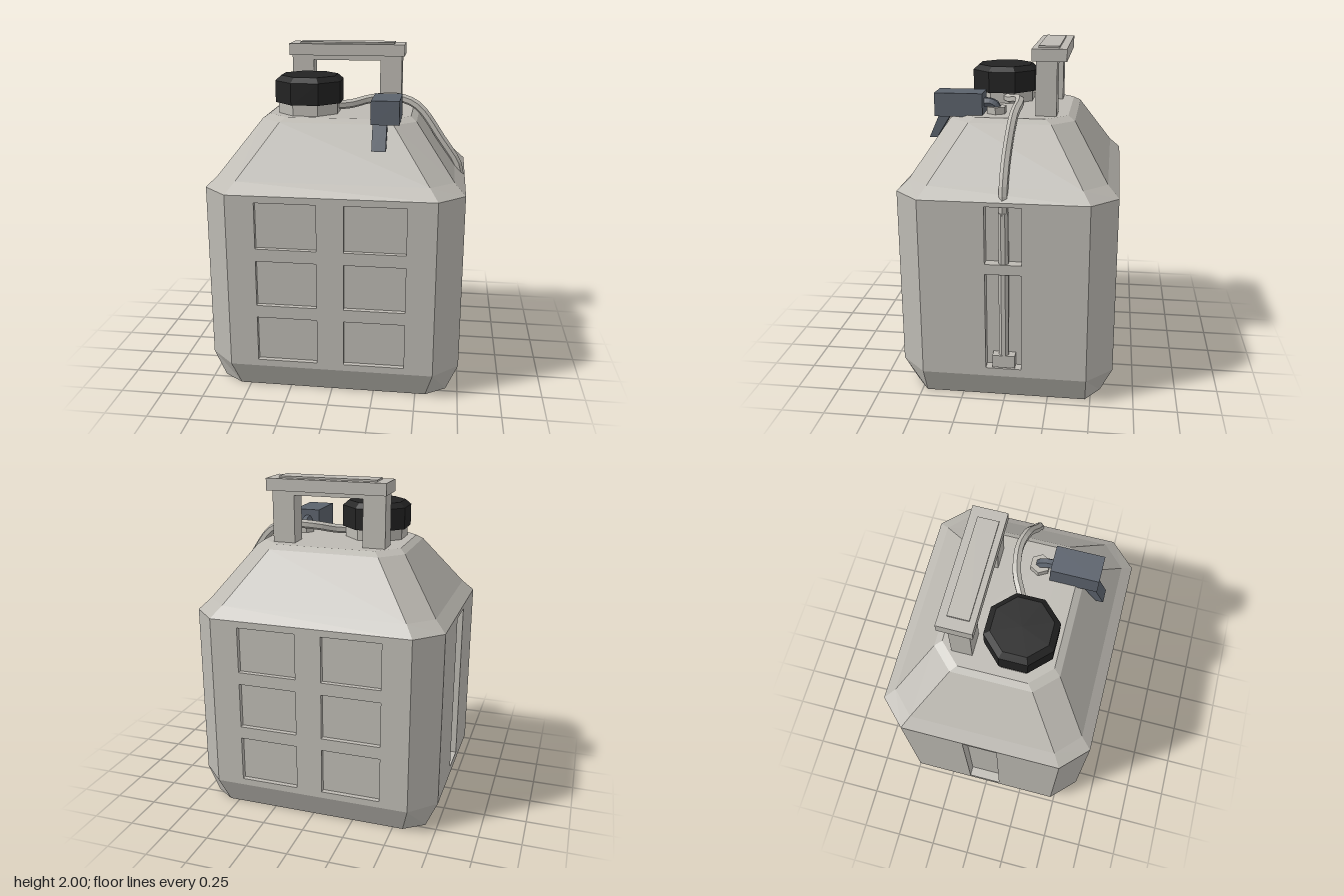
import * as THREE from 'three';

const mat = (name, color) => {
  const m = new THREE.MeshStandardMaterial({ color, flatShading: true });
  m.name = name;
  return m;
};

export function createModel() {
  const plastic = mat('greyPlastic', 0xbdbab3);
  const black = mat('blackCap', 0x232323);
  const metal = mat('blueGreyMetal', 0x5b626c);
  const root = new THREE.Group();
  root.name = 'jerrycan';

  const add = (name, geo, material, x = 0, y = 0, z = 0, parent = root) => {
    const m = new THREE.Mesh(geo, material);
    m.name = name;
    m.position.set(x, y, z);
    parent.add(m);
    return m;
  };
  // Box given by its limits on each axis
  const box = (name, material, x0, x1, y0, y1, z0, z1) =>
    add(name, new THREE.BoxGeometry(x1 - x0, y1 - y0, z1 - z0), material,
      (x0 + x1) / 2, (y0 + y1) / 2, (z0 + z1) / 2);

  // Body shell: chamfered rectangles [y, halfX, halfZ, cornerX, cornerZ] joined upward
  const levels = [
    [0, 0.68, 0.555, 0.56, 0.47],
    [0.16, 0.75, 0.625, 0.6, 0.475],
    [1.215, 0.75, 0.625, 0.6, 0.475],
    [1.28, 0.685, 0.56, 0.55, 0.43],
    [1.585, 0.455, 0.36, 0.33, 0.235],
    [1.61, 0.42, 0.32, 0.3, 0.2],
  ];
  const rings = levels.map(([y, hx, hz, cx, cz]) => [
    [hx, y, cz], [cx, y, hz], [-cx, y, hz], [-hx, y, cz],
    [-hx, y, -cz], [-cx, y, -hz], [cx, y, -hz], [hx, y, -cz]]);
  const pos = [];
  const tri = (a, b, c) => pos.push(...a, ...b, ...c);
  for (let r = 0; r < rings.length - 1; r++) {
    for (let i = 0; i < 8; i++) {
      if (r === 1 && i % 2) continue; // flat walls are separate panels
      const j = (i + 1) % 8, a = rings[r], b = rings[r + 1];
      tri(a[i], b[i], b[j]);
      tri(a[i], b[j], a[j]);
    }
  }
  const bottom = rings[0], top = rings[rings.length - 1];
  for (let i = 1; i < 7; i++) {
    tri(bottom[0], bottom[i], bottom[i + 1]);
    tri(top[0], top[i + 1], top[i]);
  }
  const shell = new THREE.BufferGeometry();
  shell.setAttribute('position', new THREE.Float32BufferAttribute(pos, 3));
  shell.computeVertexNormals();
  add('bodyShell', shell, plastic);

  // Flat walls with recessed windows
  const rect = (P, x0, x1, y0, y1) => {
    const p = new P();
    p.moveTo(x0, y0).lineTo(x1, y0).lineTo(x1, y1).lineTo(x0, y1).closePath();
    return p;
  };
  const wall = (name, angle, half, dist, depth, holes) => {
    const g = new THREE.Group();
    g.name = name;
    g.rotation.y = angle;
    root.add(g);
    const shape = rect(THREE.Shape, -half, half, 0.16, 1.215);
    holes.forEach(h => shape.holes.push(rect(THREE.Path, ...h)));
    add(name + 'Frame', new THREE.ExtrudeGeometry(shape, { depth, bevelEnabled: false }),
      plastic, 0, 0, dist - depth, g);
    add(name + 'RecessFloor', new THREE.PlaneGeometry(half * 2, 1.055),
      plastic, 0, 0.6875, dist - depth, g);
  };
  const windows = [];
  for (const [y0, y1] of [[0.2, 0.475], [0.55, 0.825], [0.9, 1.175]])
    for (const x of [-0.255, 0.255]) windows.push([x - 0.177, x + 0.177, y0, y1]);
  wall('frontWall', 0, 0.6, 0.625, 0.03, windows);
  wall('backWall', Math.PI, 0.6, 0.625, 0.03, windows);
  wall('leftWall', Math.PI / 2, 0.475, 0.75, 0.06,
    [[-0.103, 0.103, 0.21, 0.795], [-0.103, 0.103, 0.855, 1.19]]);
  wall('rightWall', -Math.PI / 2, 0.475, 0.75, 0.06, [[-0.103, 0.103, 0.21, 1.19]]);

  // Carrying handle
  for (const s of [-1, 1])
    box('handlePost', plastic, s * 0.275 - 0.067, s * 0.275 + 0.067, 1.58, 1.92, -0.255, -0.135);
  box('handleUnderBar', plastic, -0.21, 0.21, 1.89, 1.92, -0.255, -0.135);
  box('handleBar', plastic, -0.358, 0.358, 1.92, 1.99, -0.31, -0.112);
  box('handleGripPad', plastic, -0.293, 0.293, 1.99, 2.0, -0.265, -0.145);

  // Filler neck and bevelled octagonal cap
  const octagon = (rTop, rBottom, h) => {
    const k = 1 / Math.cos(Math.PI / 8);
    return new THREE.CylinderGeometry(rTop * k, rBottom * k, h, 8).rotateY(Math.PI / 8);
  };
  add('fillerNeck', octagon(0.175, 0.175, 0.1), plastic, -0.192, 1.64, 0.107);
  add('capSide', octagon(0.193, 0.193, 0.127), black, -0.192, 1.7385, 0.107);
  add('capBevel', octagon(0.16, 0.193, 0.03), black, -0.192, 1.817, 0.107);

  // Hose from the neck, over the shoulder and down the side slot
  const tube = (name, material, points, segments, radius, sides) => {
    const curve = new THREE.CatmullRomCurve3(points.map(p => new THREE.Vector3(...p)));
    add(name, new THREE.TubeGeometry(curve, segments, radius, sides), material);
  };
  tube('hose', plastic, [
    [-0.04, 1.645, 0.08], [0.05, 1.65, 0.045], [0.17, 1.675, -0.015], [0.33, 1.68, -0.042],
    [0.45, 1.635, -0.025], [0.6, 1.44, -0.003], [0.7, 1.29, 0], [0.716, 1.22, 0], [0.716, 1.1, 0],
  ], 24, 0.027, 6);
  add('hoseLower', new THREE.CylinderGeometry(0.03, 0.03, 0.9, 8).rotateY(Math.PI / 8),
    plastic, 0.715, 0.7, 0);
  box('hoseEndClip', plastic, 0.685, 0.745, 0.215, 0.29, -0.065, 0.065);

  // Pouring valve: nut, elbow pipe, block and slanted lever
  add('valveNut', new THREE.CylinderGeometry(0.06, 0.06, 0.05, 6).rotateY(Math.PI / 6),
    plastic, 0.277, 1.625, 0.097);
  tube('valvePipe', metal, [
    [0.28, 1.61, 0.098], [0.28, 1.65, 0.1], [0.28, 1.67, 0.13], [0.28, 1.672, 0.19],
  ], 8, 0.029, 6);
  box('valveBlock', metal, 0.207, 0.367, 1.6, 1.735, 0.167, 0.445);
  const lever = new THREE.Shape();
  lever.moveTo(-0.43, 1.605).lineTo(-0.495, 1.46).lineTo(-0.45, 1.46).lineTo(-0.36, 1.605).closePath();
  add('valveLever', new THREE.ExtrudeGeometry(lever, { depth: 0.08, bevelEnabled: false })
    .rotateY(Math.PI / 2), metal, 0.217, 0, 0);

  return root;
}
